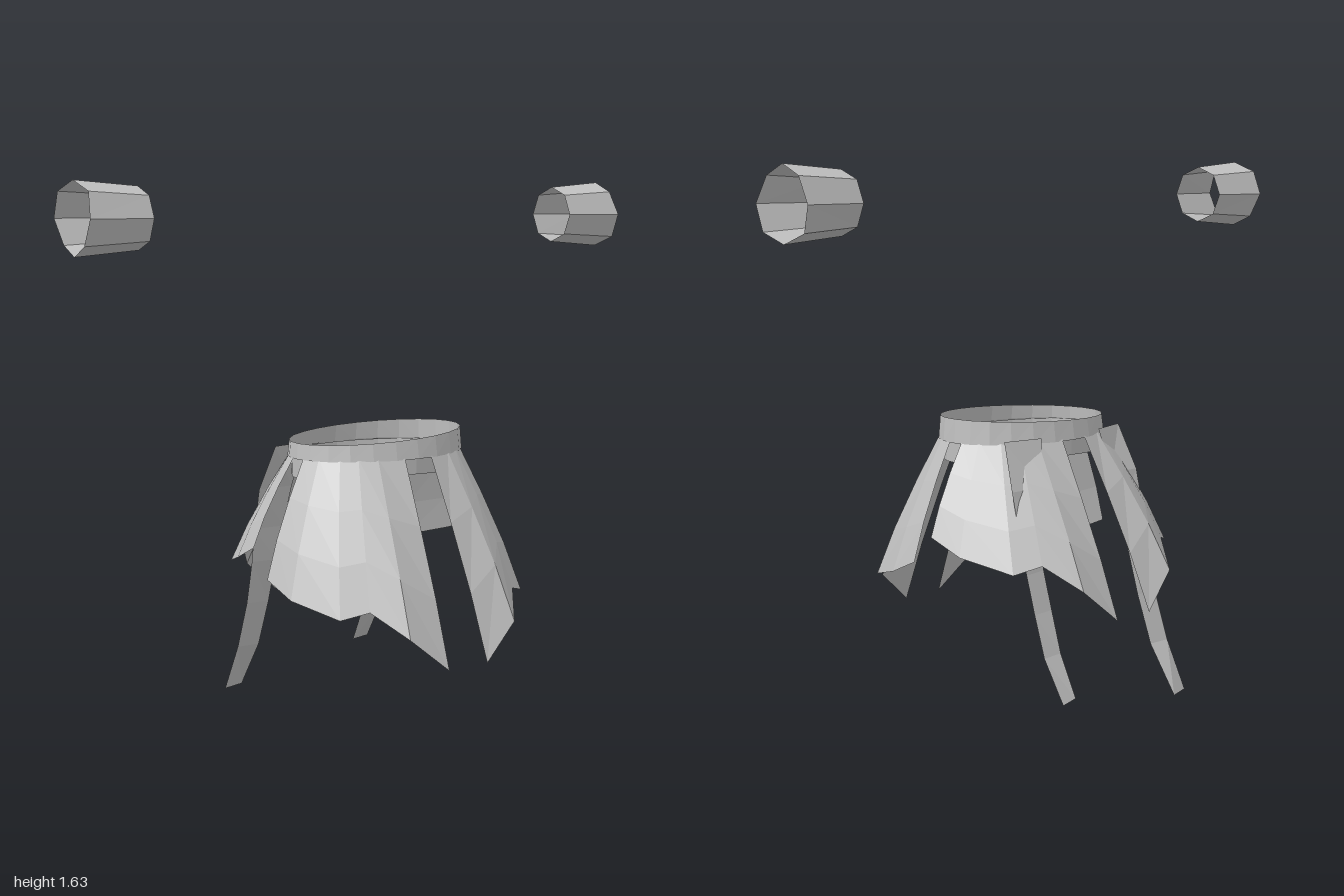
import * as THREE from 'three';

const grey = new THREE.MeshStandardMaterial({ color: 0xc0c0c0, flatShading: true, side: THREE.DoubleSide });
grey.name = 'cloth grey';

// Skin a surface over cross-sections, each a list of [x, y, z] points
function loft(name, rows) {
  const n = rows[0].length, index = [];
  for (let r = 0; r < rows.length - 1; r++) {
    for (let c = 0; c < n - 1; c++) {
      const a = r * n + c, b = a + n;
      index.push(a, b, a + 1, a + 1, b, b + 1);
    }
  }
  const geo = new THREE.BufferGeometry();
  geo.setAttribute('position', new THREE.Float32BufferAttribute(rows.flat(2), 3));
  geo.setIndex(index);
  geo.computeVertexNormals();
  const mesh = new THREE.Mesh(geo, grey);
  mesh.name = name;
  return mesh;
}

// Elliptical ring of points around the waist; height is a function of x
function ring(rx, rz, height, count = 24) {
  return Array.from({ length: count + 1 }, (_, i) => {
    const t = (i / count) * Math.PI * 2, x = rx * Math.sin(t);
    return [x, height(x), rz * Math.cos(t)];
  });
}

// Quarter of the skirt: straight top on the waist, ragged flared hem
const waistAngles = [0.17, 0.48, 0.7, 0.92, 1.2, 1.46];
const hem = [
  [0.073, 0.21, 0.453], [0.2, 0.315, 0.43], [0.275, 0.39, 0.335],
  [0.35, 0.368, 0.29], [0.42, 0.41, 0.142], [0.432, 0.457, 0.036],
];
function skirtPanel(name, sx, sz, lift) {
  const rows = [0, 0.33, 0.67, 1].map((f) => hem.map(([x, y, z], i) => {
    const t = waistAngles[i], bulge = 1 + 0.03 * Math.sin(f * Math.PI);
    const px = THREE.MathUtils.lerp(0.29 * Math.sin(t), x, f) * bulge;
    const pz = THREE.MathUtils.lerp(0.212 * Math.cos(t), z, f) * bulge;
    return [sx * px, THREE.MathUtils.lerp(0.812, y + lift, f), sz * pz];
  }));
  return loft(name, rows);
}

// Hanging ribbon: rows of inner x, inner z, outer x, outer z, height
function ribbon(name, side, bottom, twist) {
  const k = (y) => bottom + (y / 0.44) * (0.44 - bottom);
  const rows = [
    [0.13, -0.2, 0.26, -0.17, 0.82], [0.16, -0.228, 0.285, -0.225, 0.68],
    [0.18, -0.25, 0.285, -0.255, 0.55], [0.195, -0.268, 0.28, -0.278, 0.44],
    [0.2, -0.305, 0.28, -0.31, k(0.3)], [0.21, -0.35, 0.287, -0.355, k(0.15)],
    [0.22, -0.428 + twist, 0.297, -0.428 - twist, bottom],
  ];
  return loft(name, rows.map(([xa, za, xb, zb, y]) => [[side * xa, y, za], [side * xb, y, zb]]));
}

export function createModel() {
  const model = new THREE.Group();
  model.name = 'skirtAndCuffs';

  // Waistband, slightly higher on its left, and the lining below it
  model.add(loft('waistband', [
    ring(0.293, 0.207, (x) => 0.863 + 0.042 * x),
    ring(0.297, 0.216, () => 0.803),
  ]));
  model.add(loft('waistLining', [
    ring(0.288, 0.205, () => 0.81),
    ring(0.286, 0.203, (x) => 0.755 - 0.05 * Math.abs(x)),
  ]));

  for (const s of [1, -1]) {
    const label = s > 0 ? 'left' : 'right';
    model.add(skirtPanel(label + 'FrontPanel', s, 1, 0));
    model.add(skirtPanel(label + 'BackPanel', s, -1, 0.085));
    model.add(ribbon(label + 'Ribbon', s, s > 0 ? 0.085 : 0, s > 0 ? 0.01 : -0.01));

    // Open eight-sided wrist cuff, wider at the outer end
    const end = (radius, x, bow) => Array.from({ length: 9 }, (_, i) => {
      const t = (i / 8) * Math.PI * 2;
      return [s * (x + bow * Math.abs(Math.cos(t + 0.6))), 1.525 + radius * Math.sin(t), -0.067 + radius * Math.cos(t)];
    });
    model.add(loft(label + 'Cuff', [end(0.09, 0.788, 0), end(0.106, 0.98, 0.02)]));
  }
  return model;
}
